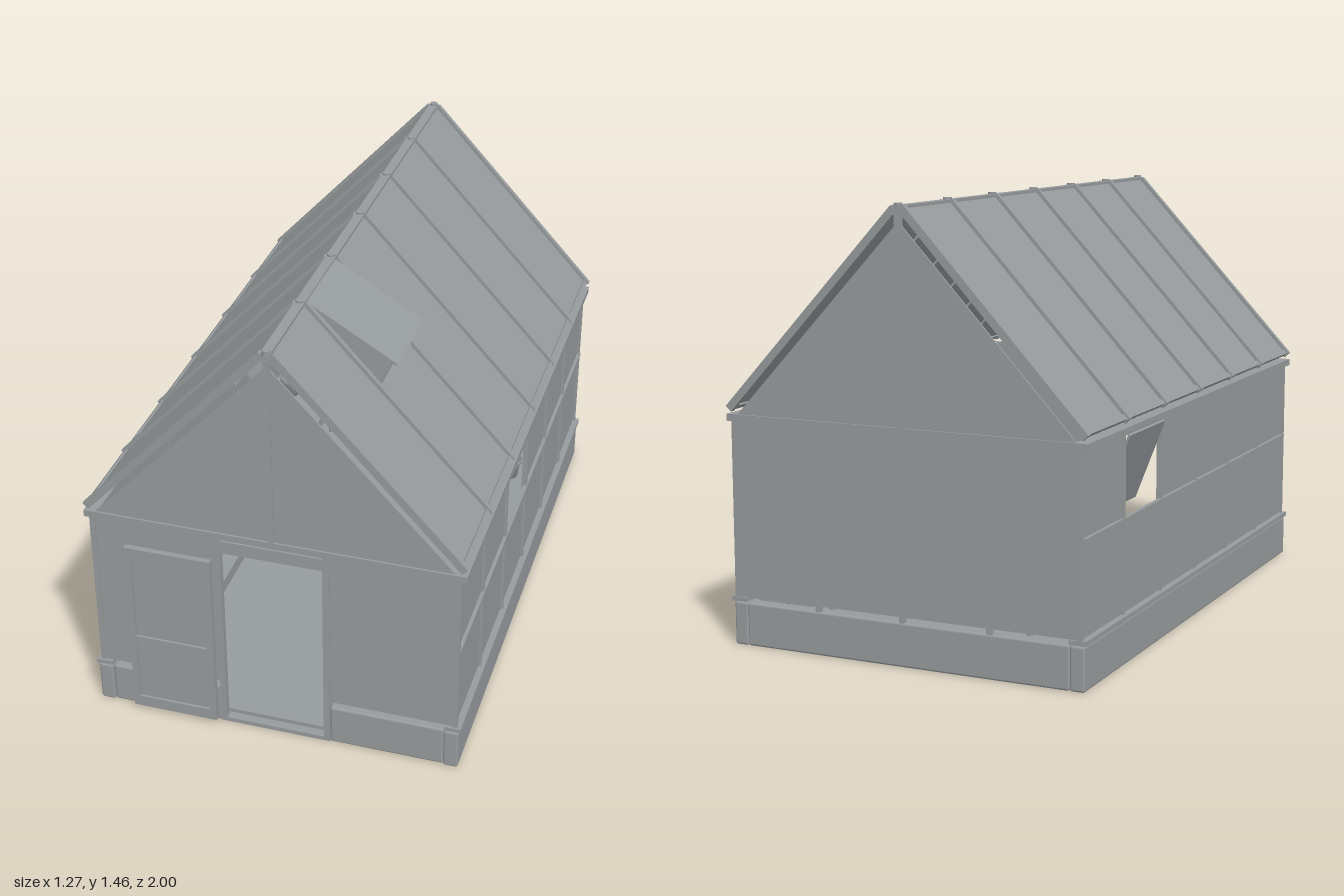
import * as THREE from 'three';
import { RoundedBoxGeometry } from 'three/addons/geometries/RoundedBoxGeometry.js';

export function createModel() {
  const model = new THREE.Group();
  model.name = 'greenhouse';
  const grey = new THREE.MeshStandardMaterial({ color: 0x969b9d, side: THREE.DoubleSide });
  grey.name = 'grey';

  const add = (name, geometry, parent = model) => {
    const mesh = new THREE.Mesh(geometry, grey);
    mesh.name = name;
    parent.add(mesh);
    return mesh;
  };
  // Box given by its extents on each axis
  const box = (name, x0, x1, y0, y1, z0, z1, parent = model, round = 0) => {
    const g = round
      ? new RoundedBoxGeometry(x1 - x0, y1 - y0, z1 - z0, 2, round)
      : new THREE.BoxGeometry(x1 - x0, y1 - y0, z1 - z0);
    g.translate((x0 + x1) / 2, (y0 + y1) / 2, (z0 + z1) / 2);
    return add(name, g, parent);
  };
  // Slab running between two points of the XY plane, extended along z
  const slab = (name, [ax, ay], [bx, by], thick, z0, z1) => {
    const g = new THREE.BoxGeometry(Math.hypot(bx - ax, by - ay), thick, z1 - z0);
    g.rotateZ(Math.atan2(by - ay, bx - ax));
    g.translate((ax + bx) / 2, (ay + by) / 2, (z0 + z1) / 2);
    return add(name, g);
  };

  const FRONT = 0.96, BACK = -0.985, BAYS = 6;
  const step = (FRONT - BACK) / BAYS;
  const bars = Array.from({ length: BAYS + 1 }, (_, i) => FRONT - i * step);

  // Floor and plinth
  box('floor', -0.59, 0.59, 0.012, 0.03, -0.96, 0.94);
  box('backPlinth', -0.575, 0.575, 0, 0.145, -0.99, -0.94, model, 0.008);
  for (const s of [-1, 1]) {
    const span = (a, b) => (s > 0 ? [a, b] : [-b, -a]);
    box('sidePlinth', ...span(0.575, 0.625), 0, 0.145, -0.99, 0.975, model, 0.008);
    box('frontPlinth', ...span(0.19, 0.575), 0, 0.145, 0.92, 0.97, model, 0.008);

    // Side wall rails and posts
    box('sill', ...span(0.575, 0.632), 0.148, 0.163, -0.995, 0.975);
    box('eaveRail', ...span(0.59, 0.635), 0.745, 0.768, -0.995, 0.97);
    box('middleRail', ...span(0.607, 0.622), 0.465, 0.475, BACK, FRONT);
    bars.forEach((z) => box('sidePost', ...span(0.6, 0.618), 0.16, 0.75, z - 0.008, z + 0.008));

    // Side panes, with one tilted window on each side
    const windowBay = s > 0 ? 2 : 4;
    for (let i = 0; i < BAYS; i++) {
      const z1 = bars[i] - 0.006, z0 = bars[i + 1] + 0.006;
      const open = i === windowBay;
      box('sidePane', ...span(0.604, 0.61), 0.163, open ? 0.47 : 0.748, z0, z1);
      if (open) slab('tiltedWindow', [s * 0.627, 0.738], [s * 0.525, 0.475], 0.008, z0 + 0.005, z1 - 0.005);
    }

    // Roof slope: t runs from the ridge (0) to the eave (1)
    const at = (t, lift = 0) => [s * (0.012 + 0.608 * t + 0.73 * lift), 1.445 - 0.655 * t + 0.68 * lift];
    for (let i = 0; i < BAYS; i++) {
      const vent = s > 0 && i === 1;
      const z1 = bars[i], z0 = bars[i + 1];
      slab('roofPane', at(vent ? 0.4 : 0), at(1), 0.006, z0, z1);
      if (vent) {
        slab('ventCurb', at(0.395), at(0.42), 0.02, z0, z1);
        slab('roofVent', [0.015, 1.447], [0.31, 1.272], 0.008, z0 + 0.012, z1 - 0.012);
      }
    }
    bars.forEach((z) => slab('roofBar', at(0, 0.002), at(1.01, 0.002), 0.026, z - 0.009, z + 0.009));
    slab('eaveTrim', at(0.985), at(1.005), 0.018, BACK, FRONT);
  }

  // Ridge
  box('ridgeBeam', -0.016, 0.016, 1.425, 1.455, -0.998, 0.968);
  bars.forEach((z) => {
    const cap = add('ridgeCap', new THREE.CylinderGeometry(0.014, 0.014, 0.02, 12));
    cap.position.set(0, 1.452, z);
  });

  // Gables
  const triangle = new THREE.Shape([
    new THREE.Vector2(-0.598, 0.766), new THREE.Vector2(0.598, 0.766), new THREE.Vector2(0, 1.405),
  ]);
  for (const z of [FRONT, BACK]) {
    const gable = add('gablePane', new THREE.ExtrudeGeometry(triangle, { depth: 0.006, bevelEnabled: false }));
    gable.position.z = z - 0.003;
    box('gableRail', -0.635, 0.635, 0.745, 0.768, z - 0.01, z + 0.01);
    box('gablePost', -0.01, 0.01, 0.768, 1.43, z - 0.01, z + 0.01);
  }

  // Back wall
  box('backPane', -0.604, 0.604, 0.163, 0.75, BACK - 0.003, BACK + 0.003);
  for (const x of [-0.305, 0, 0.305]) box('backPost', x - 0.008, x + 0.008, 0.145, 0.75, BACK - 0.009, BACK + 0.009);

  // Front wall and doorway
  for (const [a, b] of [[-0.604, -0.18], [0.18, 0.604]]) box('frontPane', a, b, 0.163, 0.75, FRONT - 0.003, FRONT + 0.003);
  for (const [a, b] of [[-0.193, -0.172], [0.168, 0.19]]) box('doorJamb', a, b, 0, 0.75, FRONT - 0.012, FRONT + 0.01);
  box('doorHead', -0.18, 0.18, 0.69, 0.748, FRONT - 0.008, FRONT + 0.004);
  box('doorTrack', -0.172, 0.168, 0.72, 0.743, FRONT, FRONT + 0.014);
  box('threshold', -0.18, 0.18, 0, 0.015, 0.92, FRONT + 0.01);

  // Sliding door standing open beside the doorway
  const door = new THREE.Group();
  door.name = 'slidingDoor';
  model.add(door);
  for (const [a, b] of [[-0.492, -0.47], [-0.22, -0.198]]) box('doorStile', a, b, 0.02, 0.67, 0.98, 1, door);
  for (const [a, b] of [[0.02, 0.06], [0.29, 0.315], [0.64, 0.67]]) box('doorRail', -0.47, -0.22, a, b, 0.98, 1, door);
  box('doorPane', -0.47, -0.22, 0.06, 0.64, 0.985, 0.991, door);

  // Benches with pots
  const potProfile = [[0, 0], [0.028, 0], [0.038, 0.06], [0.043, 0.06], [0.043, 0.075], [0.036, 0.075], [0.034, 0.06], [0, 0.06]]
    .map(([x, y]) => new THREE.Vector2(x, y));
  const potGeometry = new THREE.LatheGeometry(potProfile, 16);
  for (const s of [-1, 1]) {
    const bench = new THREE.Group();
    bench.name = 'bench';
    bench.position.x = s * 0.44;
    model.add(bench);
    box('benchTop', -0.13, 0.13, 0.265, 0.285, -0.9, 0.78, bench);
    for (const x of [-0.125, 0.115]) box('benchApron', x, x + 0.01, 0.23, 0.265, -0.9, 0.78, bench);
    for (const z of [-0.82, -0.04, 0.66]) {
      for (const x of [-0.085, 0.075]) {
        const leg = add('benchLeg', new THREE.CylinderGeometry(0.01, 0.01, 0.26, 12), bench);
        leg.position.set(x, 0.14, z);
      }
    }
    for (let i = 0; i < 5; i++) {
      const pot = add('pot', potGeometry, bench);
      pot.position.set(i % 2 ? 0.05 : -0.04, 0.285, 0.64 - i * 0.325);
    }
  }
  return model;
}
